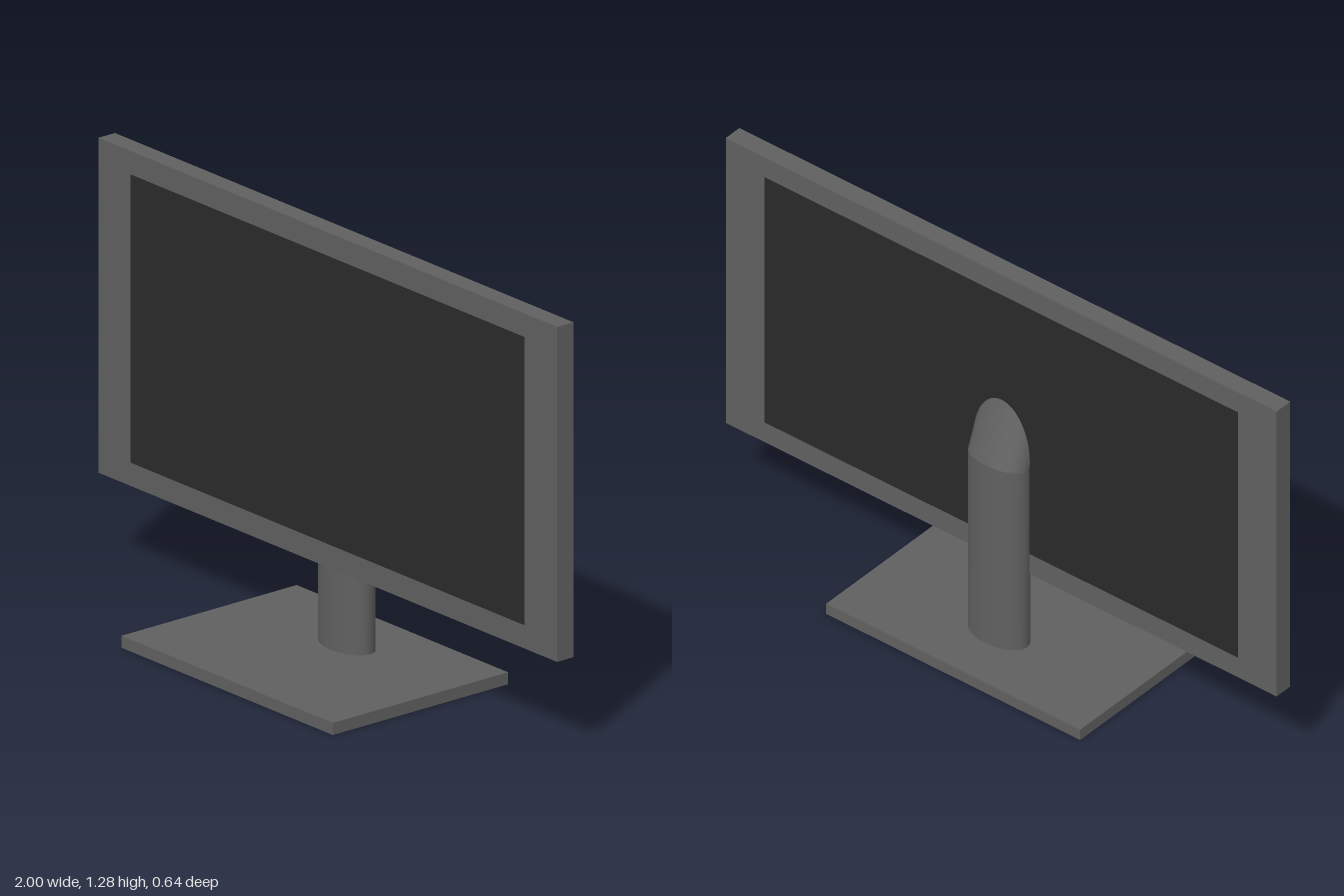
import * as THREE from 'three';

const bodyMaterial = new THREE.MeshStandardMaterial({ color: 0x606060 });
const screenMaterial = new THREE.MeshStandardMaterial({ color: 0x2a2a2a });

function box(name, size, position, material = bodyMaterial) {
  const mesh = new THREE.Mesh(new THREE.BoxGeometry(...size), material);
  mesh.name = name;
  mesh.position.set(...position);
  return mesh;
}

// Oval column section; place(x, t, z) returns the point at height fraction t
function column(name, rings, place) {
  const geometry = new THREE.CylinderGeometry(1, 1, 1, 48, rings);
  const p = geometry.attributes.position;
  for (let i = 0; i < p.count; i++) {
    const x = p.getX(i) * 0.102 - 0.003;
    const z = p.getZ(i) * 0.061 - 0.117;
    p.setXYZ(i, ...place(x, p.getY(i) + 0.5, z));
  }
  geometry.computeVertexNormals();
  const mesh = new THREE.Mesh(geometry, bodyMaterial);
  mesh.name = name;
  return mesh;
}

export function createModel() {
  const monitor = new THREE.Group();
  monitor.name = 'monitor';

  monitor.add(box('base', [0.922, 0.036, 0.64], [-0.003, 0.018, 0]));

  // Panel with a dark inset on both faces
  monitor.add(box('panelFrame', [2, 1, 0.06], [0, 0.785, -0.075]));
  for (const [name, z] of [['frontScreen', -0.046], ['backCover', -0.104]]) {
    monitor.add(box(name, [1.718, 0.86, 0.004], [0, 0.785, z], screenMaterial));
  }

  // Upright column, then a bend that leans into the back of the panel
  const bendY = (z) => 0.66 - 0.185 * (z + 0.178);
  monitor.add(column('standColumn', 1, (x, t, z) => [x, THREE.MathUtils.lerp(0.03, bendY(z), t), z]));
  monitor.add(column('standBend', 24, (x, t, z) => [
    x, bendY(z) + 0.23 * t, Math.min(z + 0.088 * t, -0.07),
  ]));

  return monitor;
}
